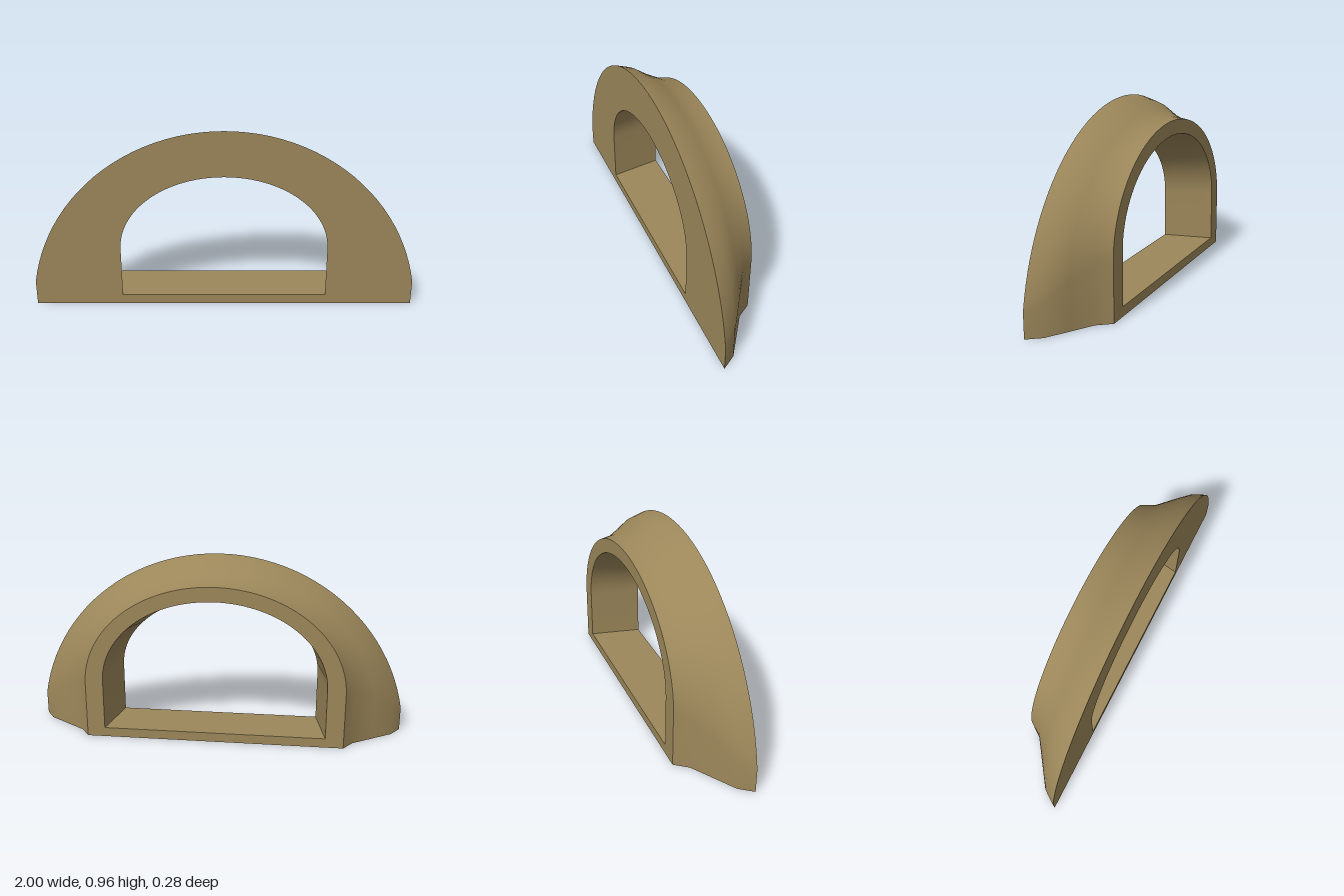
import * as THREE from 'three';
import { toCreasedNormals } from 'three/addons/utils/BufferGeometryUtils.js';

const STEPS = 48;
const lerp = THREE.MathUtils.lerp;

// Closed arch outline, counter-clockwise: right foot, over the crown, left foot
function archLoop(curve, base) {
  const arc = [];
  for (let i = 0; i <= STEPS; i++) arc.push(curve(1 - (2 * i) / STEPS));
  const first = arc[0], last = arc[STEPS];
  return [new THREE.Vector2(first.x, base), ...arc, new THREE.Vector2(last.x, base)];
}

// Half ellipse standing on straight legs, t runs 1 (right) to -1 (left)
function halfEllipse(t, width, spring, top) {
  const a = (t * Math.PI) / 2;
  return new THREE.Vector2(width * Math.sin(a), spring + (top - spring) * Math.cos(a));
}

// Circular arc spanning the wide front rim
function frontArc(t) {
  const r = 1.017, a = t * Math.asin(1 / r);
  return new THREE.Vector2(r * Math.sin(a), -0.057 + r * Math.cos(a));
}

// Outer outline blended from the wide front to the narrow back
const outerLoop = (kx, ky) => archLoop((t) => {
  const f = frontArc(t), b = halfEllipse(t, 0.685, 0.3, 0.847);
  return new THREE.Vector2(lerp(f.x, b.x, kx), lerp(f.y, b.y, ky));
}, 0);

// Opening, slightly larger at the back
const innerLoop = (k) => archLoop(
  (t) => halfEllipse(t, lerp(0.54, 0.59, k), 0.32, lerp(0.72, 0.77, k)), 0.05);

// Skin through a row of loops, front to back
function loft(sections, inward) {
  const pos = [], idx = [];
  const n = sections[0].loop.length;
  for (const { z, loop } of sections) for (const p of loop) pos.push(p.x, p.y, z);
  for (let s = 0; s < sections.length - 1; s++) {
    for (let i = 0; i < n; i++) {
      const a = s * n + i, b = s * n + ((i + 1) % n), c = a + n, d = b + n;
      if (inward) idx.push(a, b, c, b, d, c);
      else idx.push(a, c, b, b, c, d);
    }
  }
  const g = new THREE.BufferGeometry();
  g.setAttribute('position', new THREE.Float32BufferAttribute(pos, 3));
  g.setIndex(idx);
  return toCreasedNormals(g, Math.PI / 4);
}

// Flat face between an outer and inner outline
function ringFace(outer, inner, z, back) {
  const shape = new THREE.Shape(outer);
  shape.holes.push(new THREE.Path([...inner].reverse()));
  const g = new THREE.ShapeGeometry(shape);
  if (back) g.rotateY(Math.PI); // outlines are symmetric in x
  return g.translate(0, 0, z);
}

export function createModel() {
  const group = new THREE.Group();
  group.name = 'archFrame';
  const tan = new THREE.MeshStandardMaterial({ color: 0x9c875a });
  tan.name = 'tan';
  const add = (name, geometry) => {
    const mesh = new THREE.Mesh(geometry, tan);
    mesh.name = name;
    group.add(mesh);
  };

  // depth, width blend, height blend
  const outer = [
    [0.14, 0, 0], [0.07, 0.16, 0.2], [0, 0.5, 0.62], [-0.07, 0.84, 0.91], [-0.14, 1, 1],
  ].map(([z, kx, ky]) => ({ z, loop: outerLoop(kx, ky) }));
  const inner = [0, 0.25, 0.5, 0.75, 1].map((k) => ({ z: lerp(0.14, -0.14, k), loop: innerLoop(k) }));

  add('outerShell', loft(outer, false));
  add('openingWall', loft(inner, true));
  add('frontFace', ringFace(outer[0].loop, inner[0].loop, 0.14, false));
  add('backFace', ringFace(outer[4].loop, inner[4].loop, -0.14, true));
  return group;
}
